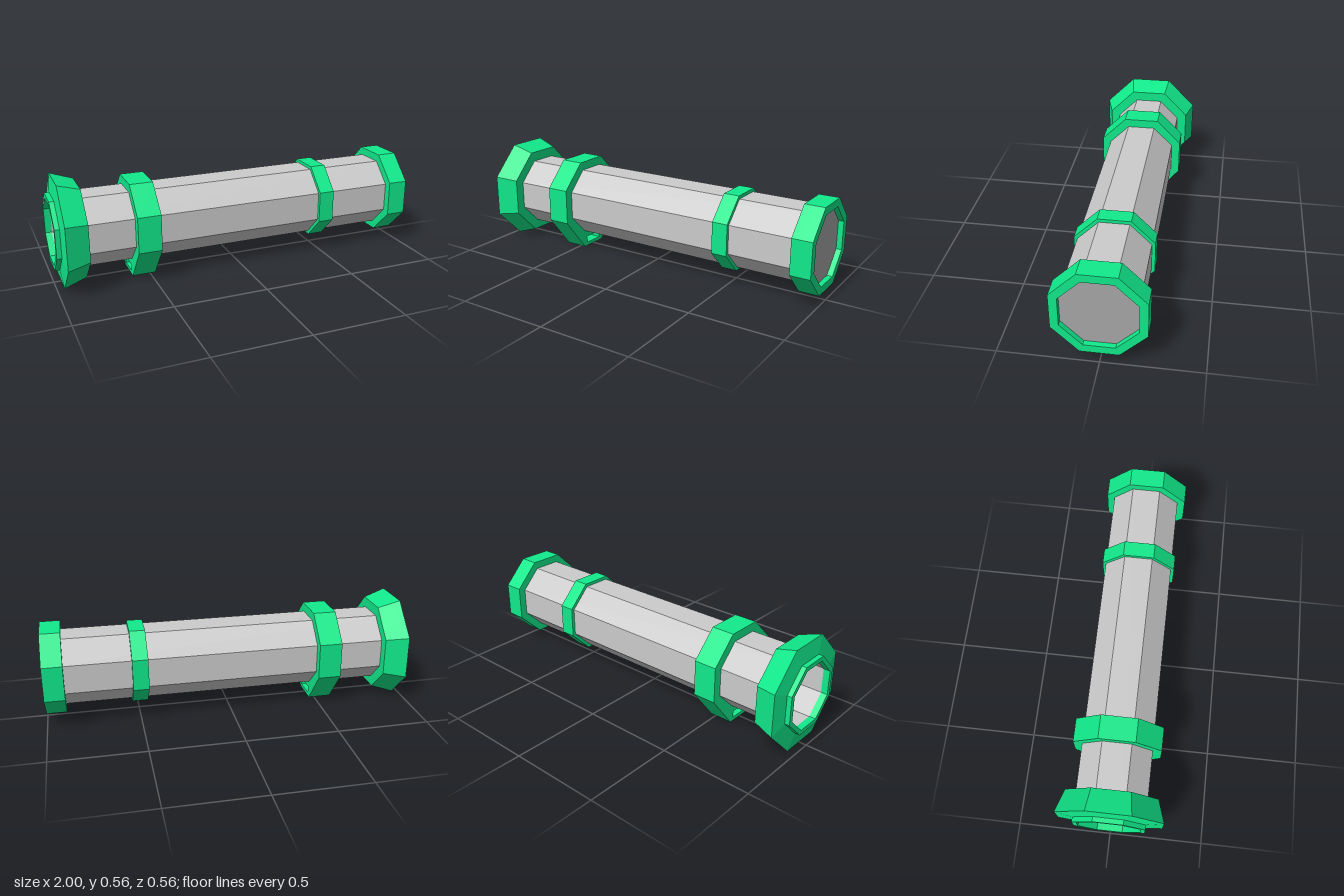
import * as THREE from 'three';

const AXIS_Y = 0.285; // height of the tube's axis
const SIDES = 8;
const toCorner = 1 / Math.cos(Math.PI / SIDES); // flat distance -> corner radius

const grey = new THREE.MeshStandardMaterial({ color: 0xcccccc, flatShading: true });
const green = new THREE.MeshStandardMaterial({ color: 0x11ea8b, flatShading: true });
const glass = new THREE.MeshStandardMaterial({ color: 0xa6a6a6, flatShading: true, side: THREE.DoubleSide });

// Octagonal part turned about the x axis; profile is a closed loop of [x, flat distance]
function turned(name, profile, material) {
  const points = [...profile, profile[0]].map(([x, r]) => new THREE.Vector2(r * toCorner, x));
  const geometry = new THREE.LatheGeometry(points, SIDES, Math.PI / SIDES);
  geometry.rotateZ(-Math.PI / 2);
  const mesh = new THREE.Mesh(geometry, material);
  mesh.name = name;
  return mesh;
}

// Plain ring between two x positions
function ring(name, x0, x1, inner, outer, material) {
  return turned(name, [[x0, inner], [x0, outer], [x1, outer], [x1, inner]], material);
}

function octagon(flat) {
  return Array.from({ length: SIDES }, (_, i) => {
    const a = (i + 0.5) * Math.PI * 2 / SIDES;
    return new THREE.Vector2(Math.cos(a), Math.sin(a)).multiplyScalar(flat * toCorner);
  });
}

// Ring whose underside is pulled down and pierced by a strap slot
function strapRing(x0, x1) {
  const outline = octagon(0.233);
  for (const p of outline) {
    if (p.y < -0.2) p.set(Math.sign(p.x) * 0.08, -AXIS_Y);
  }
  const shape = new THREE.Shape(outline);
  shape.holes.push(new THREE.Path(octagon(0.182)));
  shape.holes.push(new THREE.Path([
    new THREE.Vector2(-0.058, -0.265), new THREE.Vector2(0.058, -0.265),
    new THREE.Vector2(0.058, -0.228), new THREE.Vector2(-0.058, -0.228),
  ]));
  const geometry = new THREE.ExtrudeGeometry(shape, { depth: x1 - x0, bevelEnabled: false });
  geometry.rotateY(Math.PI / 2).translate(x0, 0, 0);
  const mesh = new THREE.Mesh(geometry, green);
  mesh.name = 'strapRing';
  return mesh;
}

export function createModel() {
  const model = new THREE.Group();
  model.name = 'octagonalTube';
  const body = new THREE.Group();
  body.name = 'body';
  body.position.y = AXIS_Y;
  model.add(body);

  // Hollow barrel
  body.add(ring('barrel', -0.975, 0.97, 0.166, 0.186, grey));

  // Recessed end plate
  const plate = new THREE.Mesh(
    new THREE.CircleGeometry(0.186 * toCorner, SIDES, Math.PI / SIDES).rotateY(Math.PI / 2), glass);
  plate.position.x = 0.971;
  plate.name = 'endPlate';
  body.add(plate);

  // Rings along the barrel
  body.add(ring('endRing', 0.892, 1, 0.186, 0.228, green));
  body.add(ring('middleRing', 0.455, 0.54, 0.182, 0.204, green));
  body.add(strapRing(-0.595, -0.47));

  // Flared collar and the lip around the open end
  body.add(turned('flaredCollar',
    [[-0.975, 0.182], [-0.963, 0.278], [-0.843, 0.24], [-0.843, 0.182]], green));
  body.add(ring('openingLip', -1, -0.965, 0.163, 0.187, green));

  return model;
}
